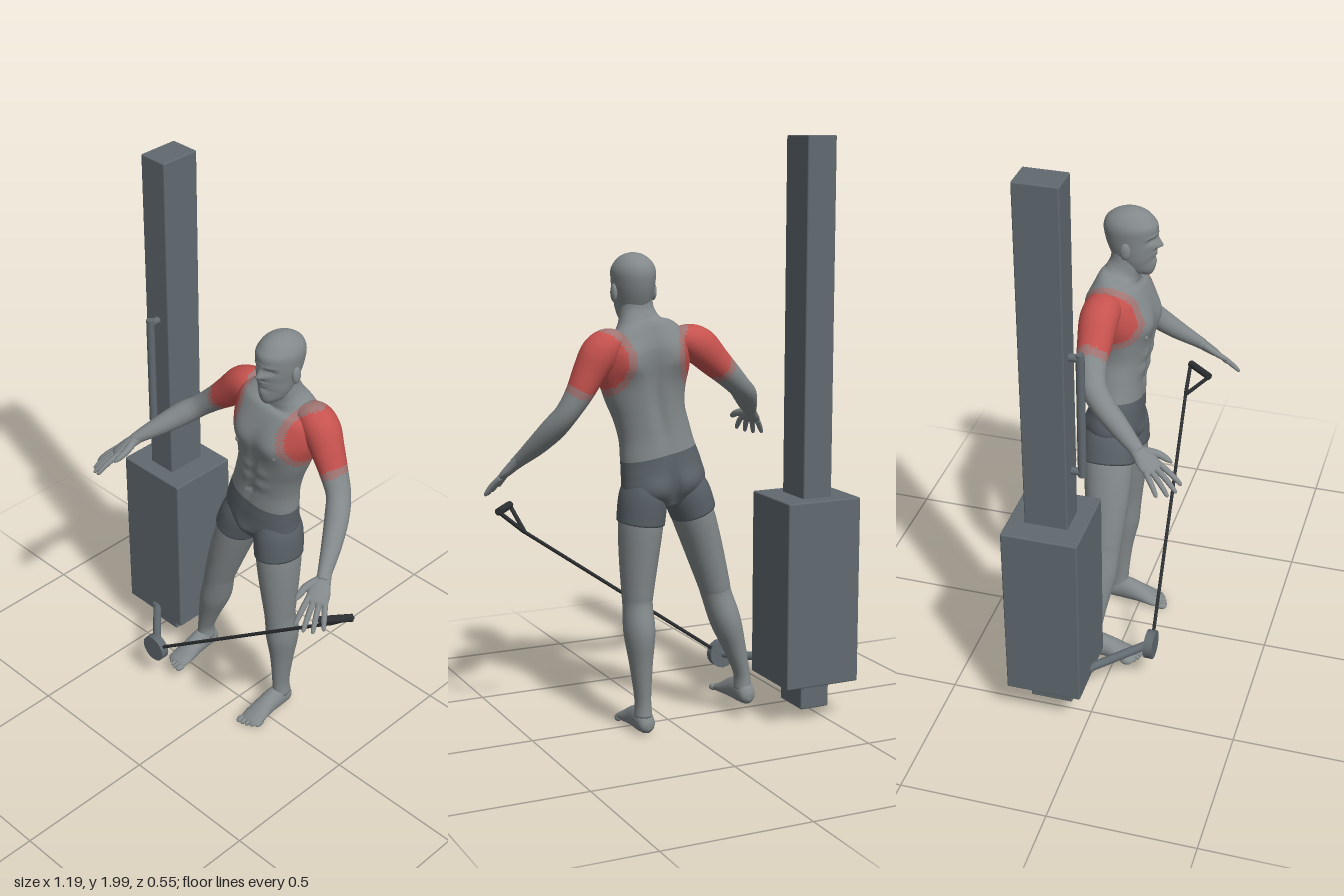
import * as THREE from 'three';
import { RoundedBoxGeometry } from 'three/addons/geometries/RoundedBoxGeometry.js';

const colour = (name, color) => Object.assign(new THREE.MeshStandardMaterial({ color }), { name });
const V3 = (x, y, z) => new THREE.Vector3(x, y, z);
const UP = V3(0, 1, 0), FRONT = V3(0, 0, 1);

// Smooth blend through four section values
function blend(a, b, c, d, t) {
  return 0.5 * (2 * b + (c - a) * t + (2 * a - 5 * b + 4 * c - d) * t * t + (3 * b - a - 3 * c + d) * t * t * t);
}

// Loft of elliptical sections [x, y, z, halfWidth, halfDepth].
// bumps: [x, y, side (1 front, -1 back), width, height, amount]
// paint(centre, t): index of the material, t counted in sections
function loft(sections, { ref = FRONT, n = 28, steps = 6, bumps = [], paint = () => 0, square = 1 } = {}) {
  const last = sections.length - 1, rings = last * steps + 1, rows = [];
  for (let i = 0; i < rings; i++) {
    const k = Math.min(Math.floor(i / steps), last - 1), t = i / steps - k;
    const s = (q) => sections[Math.min(last, Math.max(0, q))];
    rows.push([0, 1, 2, 3, 4].map((c) => {
      const v = blend(s(k - 1)[c], s(k)[c], s(k + 1)[c], s(k + 2)[c], t);
      return c > 2 ? Math.max(0.001, v) : v;
    }));
  }
  const centre = rows.map((r) => V3(r[0], r[1], r[2])), pts = [];
  const soft = (v) => Math.sign(v) * Math.abs(v) ** square;
  rows.forEach((r, i) => {
    const T = centre[Math.min(i + 1, rings - 1)].clone().sub(centre[Math.max(i - 1, 0)]).normalize();
    const U = T.clone().cross(ref).normalize(), W = U.clone().cross(T);
    for (let j = 0; j < n; j++) {
      const a = (j / n) * Math.PI * 2, c = soft(Math.cos(a)), s = soft(Math.sin(a));
      const p = centre[i].clone().addScaledVector(U, r[3] * c).addScaledVector(W, r[4] * s);
      for (const [bx, by, side, w, h, amount] of bumps) {
        const weight = Math.min(1, 3 * Math.max(0, side * s));
        p.z += side * amount * weight * Math.exp(-(((r[3] * c - bx) / w) ** 2) - ((r[1] - by) / h) ** 2);
      }
      pts.push(p);
    }
  });
  pts.push(centre[0], centre[rings - 1]);
  const buckets = [];
  const tri = (a, b, c, t) => {
    const mid = pts[a].clone().add(pts[b]).add(pts[c]).divideScalar(3);
    (buckets[paint(mid, t)] ??= []).push(a, b, c);
  };
  for (let j = 0; j < n; j++) {
    const j2 = (j + 1) % n, end = (rings - 1) * n;
    for (let i = 0; i < rings - 1; i++) {
      const a = i * n + j, b = i * n + j2, t = (i + 0.5) / steps;
      tri(a, a + n, b, t);
      tri(b, a + n, b + n, t);
    }
    tri(rings * n, j, j2, 0);
    tri(rings * n + 1, end + j2, end + j, last);
  }
  const g = new THREE.BufferGeometry().setFromPoints(pts), index = [];
  buckets.forEach((b, m) => {
    g.addGroup(index.length, b.length, m);
    for (const v of b) index.push(v);
  });
  g.setIndex(index);
  g.computeVertexNormals();
  return g;
}

export function createModel() {
  const model = new THREE.Group();
  const skin = colour('skin', 0x83898b), shorts = colour('shorts', 0x596167);
  const red = colour('highlighted muscle', 0xc6524e), pale = colour('muscle edge', 0xa07573);
  const steel = colour('machine steel', 0x616a70), dark = colour('cable', 0x2c2f31);
  const bodyColours = [skin, shorts, red, pale];
  const add = (name, geometry, material = bodyColours) => {
    const mesh = new THREE.Mesh(geometry, material);
    mesh.name = name;
    model.add(mesh);
    return mesh;
  };
  const rod = (name, a, b, r, material) => {
    const A = V3(...a), B = V3(...b);
    const mesh = add(name, new THREE.CylinderGeometry(r, r, A.distanceTo(B), 16), material);
    mesh.position.copy(A).add(B).multiplyScalar(0.5);
    mesh.quaternion.setFromUnitVectors(UP, B.sub(A).normalize());
  };
  const ball = (name, p, s, material = skin) => {
    const mesh = add(name, new THREE.SphereGeometry(1, 20, 14), material);
    mesh.position.set(...p);
    mesh.scale.set(...s);
  };
  const both = (x, ...rest) => [[-x, ...rest], [x, ...rest]];

  // Shoulder muscles are coloured by distance from their centres
  const shoulders = [[0.305, 1.28], [-0.08, 1.3]];
  const muscle = (p) => {
    const d = Math.min(...shoulders.map(([x, y]) => Math.hypot(p.x - x, p.y - y, (p.z + 0.08) * 0.6)));
    return d < 0.103 ? 2 : d < 0.128 ? 3 : 0;
  };

  // Weight machine
  const box = (name, size, pos) => add(name, new RoundedBoxGeometry(...size, 2, 0.005), steel).position.set(...pos);
  box('post', [0.108, 1.95, 0.146], [-0.46, 1.025, -0.138]);
  box('weightHousing', [0.276, 0.645, 0.257], [-0.458, 0.468, -0.138]);
  rod('gripBar', [-0.456, 0.97, -0.03], [-0.456, 1.42, -0.03], 0.014, steel);
  for (const y of [0.985, 1.405]) rod('gripBarMount', [-0.456, y, -0.08], [-0.456, y, -0.03], 0.013, steel);
  rod('pulleyArm', [-0.46, 0.17, -0.02], [-0.285, 0.17, 0.145], 0.015, steel);
  ball('pulleyArmJoint', [-0.46, 0.17, -0.015], [0.016, 0.016, 0.016], steel);
  rod('pulley', [-0.283, 0.17, 0.136], [-0.283, 0.17, 0.167], 0.05, steel);

  // Cable and stirrup handle
  const apex = [0.49, 0.707, 0.07], gripA = [0.582, 0.785, 0.065], gripB = [0.512, 0.785, 0.152];
  rod('cable', [-0.255, 0.185, 0.152], apex, 0.006, dark);
  rod('handleStrap', apex, gripA, 0.007, dark);
  rod('handleStrap', apex, gripB, 0.007, dark);
  rod('handleGrip', gripA, gripB, 0.013, dark);

  // Torso, neck and upper half of the shorts
  add('torso', loft([
    [0.037, 0.795, -0.065, 0.09, 0.065], [0.045, 0.85, -0.065, 0.143, 0.09], [0.055, 0.91, -0.062, 0.141, 0.09],
    [0.066, 0.965, -0.06, 0.132, 0.087], [0.078, 1.03, -0.058, 0.124, 0.085], [0.095, 1.1, -0.055, 0.124, 0.09],
    [0.11, 1.18, -0.052, 0.143, 0.098], [0.118, 1.26, -0.055, 0.163, 0.1], [0.125, 1.33, -0.067, 0.16, 0.09],
    [0.13, 1.37, -0.07, 0.125, 0.072], [0.135, 1.4, -0.062, 0.075, 0.06], [0.138, 1.44, -0.05, 0.057, 0.056],
    [0.14, 1.5, -0.045, 0.052, 0.055],
  ], {
    n: 64, steps: 8, square: 0.92,
    paint: (p, t) => (t < 3 ? 1 : muscle(p)),
    bumps: [
      ...both(0.068, 1.235, 1, 0.055, 0.045, 0.018), ...both(0.035, 1.07, 1, 0.025, 0.02, 0.006),
      ...both(0.035, 1.125, 1, 0.025, 0.02, 0.006), [0, 1.1, 1, 0.01, 0.13, -0.008], [0, 1.02, 1, 0.01, 0.008, -0.01],
      ...both(0.085, 1.3, -1, 0.05, 0.07, 0.025), [0, 1.17, -1, 0.022, 0.17, -0.018],
      ...both(0.065, 0.855, -1, 0.05, 0.045, 0.016), [0, 0.85, -1, 0.013, 0.05, -0.02], [0.0, 0.83, 1, 0.04, 0.03, 0.015],
    ],
  }));

  // Head, ears and eyes
  add('head', loft([
    [0.142, 1.398, 0.0, 0.014, 0.02], [0.142, 1.408, 0, 0.036, 0.044], [0.142, 1.44, -0.015, 0.053, 0.063],
    [0.142, 1.48, -0.028, 0.062, 0.078], [0.144, 1.53, -0.037, 0.069, 0.089], [0.144, 1.57, -0.04, 0.07, 0.09],
    [0.144, 1.6, -0.04, 0.055, 0.07], [0.144, 1.619, -0.04, 0.03, 0.038], [0.144, 1.626, -0.04, 0.003, 0.004],
  ], {
    n: 56, steps: 8,
    bumps: [
      [0, 1.484, 1, 0.014, 0.012, 0.02], [0, 1.503, 1, 0.009, 0.016, 0.013], ...both(0.028, 1.512, 1, 0.016, 0.01, -0.011),
      ...both(0.026, 1.53, 1, 0.02, 0.007, 0.004), [0, 1.456, 1, 0.02, 0.005, 0.007], [0, 1.444, 1, 0.017, 0.005, 0.006],
      [0, 1.418, 1, 0.018, 0.012, 0.007],
    ],
  }));
  for (const s of [-1, 1]) {
    ball('ear', [0.143 + s * 0.07, 1.497, -0.04], [0.01, 0.03, 0.018]);
    ball('eye', [0.143 + s * 0.028, 1.512, 0.026], [0.013, 0.008, 0.01]);
    ball('nipple', [0.115 + s * 0.08, 1.208, 0.043], [0.01, 0.01, 0.006]);
  }

  // Arms
  const arms = {
    left: [[0.2, 1.35, -0.08, 0.025, 0.04], [0.25, 1.338, -0.085, 0.052, 0.06], [0.285, 1.305, -0.085, 0.062, 0.064],
      [0.317, 1.25, -0.08, 0.054, 0.058], [0.352, 1.18, -0.075, 0.044, 0.05], [0.39, 1.115, -0.06, 0.038, 0.043],
      [0.422, 1.06, -0.02, 0.04, 0.04], [0.457, 1, 0.04, 0.033, 0.034], [0.49, 0.945, 0.105, 0.022, 0.025],
      [0.5, 0.928, 0.125, 0.02, 0.022]],
    right: [[0.03, 1.345, -0.08, 0.025, 0.04], [-0.02, 1.338, -0.085, 0.052, 0.06], [-0.07, 1.315, -0.088, 0.062, 0.064],
      [-0.125, 1.265, -0.085, 0.054, 0.058], [-0.185, 1.212, -0.078, 0.044, 0.05], [-0.24, 1.165, -0.055, 0.038, 0.043],
      [-0.285, 1.13, -0.01, 0.04, 0.04], [-0.33, 1.09, 0.055, 0.033, 0.034], [-0.37, 1.055, 0.115, 0.022, 0.025],
      [-0.38, 1.043, 0.132, 0.02, 0.022]],
  };
  for (const side in arms) add(side + 'Arm', loft(arms[side], { paint: muscle }));

  // Hands: wrist, pointing direction, and direction towards the thumb
  const hand = (side, wrist, dir, across) => {
    const W = V3(...wrist), D = V3(...dir).normalize(), L = V3(...across).normalize();
    const N = D.clone().cross(L).normalize();
    const at = (d, l, y, ra, rb) => {
      const p = W.clone().addScaledVector(D, d).addScaledVector(L, l);
      return [p.x, p.y + y, p.z, ra, rb];
    };
    add(side + 'Palm', loft([at(-0.015, 0, 0, 0.021, 0.02), at(0.02, 0, 0, 0.027, 0.019), at(0.06, 0, 0, 0.037, 0.016),
      at(0.09, 0, 0, 0.034, 0.012), at(0.1, 0, 0, 0.02, 0.005)], { ref: N, n: 20 }));
    for (let i = 0; i < 4; i++) {
      const k = i - 1.5, len = [0.07, 0.09, 0.095, 0.085][i];
      add(side + 'Finger', loft([at(0.08, k * 0.018, 0, 0.01, 0.01), at(0.09 + len * 0.5, k * 0.025, -0.003, 0.0095, 0.0095),
        at(0.09 + len * 0.92, k * 0.03, -0.012, 0.007, 0.007), at(0.09 + len, k * 0.031, -0.015, 0.002, 0.002)],
      { ref: N, n: 10, steps: 3 }));
    }
    add(side + 'Thumb', loft([at(0.02, 0.012, 0, 0.015, 0.014), at(0.055, 0.045, 0, 0.013, 0.012),
      at(0.09, 0.06, 0, 0.01, 0.009), at(0.108, 0.064, 0, 0.003, 0.003)], { ref: N, n: 12, steps: 4 }));
  };
  hand('left', [0.495, 0.938, 0.112], [0.3, -0.62, 0.73], [-0.75, 0.25, 0.5]);
  hand('right', [-0.373, 1.05, 0.12], [-0.4, -0.49, 0.77], [0.8, 0.2, 0.55]);

  // Legs
  const legs = {
    left: [[0.125, 0.82, -0.065, 0.068, 0.08], [0.13, 0.73, -0.062, 0.073, 0.086], [0.136, 0.62, -0.06, 0.065, 0.078],
      [0.141, 0.5, -0.06, 0.053, 0.064], [0.142, 0.45, -0.062, 0.049, 0.06], [0.142, 0.36, -0.076, 0.051, 0.066],
      [0.138, 0.25, -0.08, 0.038, 0.048], [0.133, 0.13, -0.082, 0.027, 0.036], [0.133, 0.07, -0.085, 0.03, 0.038]],
    right: [[-0.03, 0.82, -0.065, 0.068, 0.08], [-0.06, 0.75, -0.062, 0.071, 0.085], [-0.1, 0.64, -0.056, 0.065, 0.078],
      [-0.145, 0.5, -0.053, 0.054, 0.064], [-0.157, 0.455, -0.054, 0.051, 0.06], [-0.186, 0.36, -0.066, 0.051, 0.065],
      [-0.22, 0.26, -0.07, 0.038, 0.048], [-0.246, 0.17, -0.073, 0.027, 0.036], [-0.25, 0.115, -0.075, 0.03, 0.038]],
  };
  for (const side in legs) add(side + 'Leg', loft(legs[side]));
  add('leftShortsLeg', loft([[0.11, 0.88, -0.065, 0.065, 0.08], [0.122, 0.82, -0.065, 0.079, 0.092],
    [0.13, 0.735, -0.062, 0.079, 0.092]], { steps: 8 }), shorts);
  add('rightShortsLeg', loft([[0.002, 0.885, -0.065, 0.065, 0.08], [-0.032, 0.83, -0.065, 0.079, 0.092],
    [-0.062, 0.758, -0.062, 0.077, 0.091]], { steps: 8 }), shorts);

  // Feet with toes; out is the direction of the little toe
  const foot = (side, x, y, z, out) => {
    const at = (dx, h, dz, ra, rb) => [x + out * dx, y + h, z + dz, ra, rb];
    add(side + 'Foot', loft([at(0.002, 0.035, -0.128, 0.01, 0.012), at(0.002, 0.036, -0.112, 0.028, 0.032),
      at(0.002, 0.045, -0.065, 0.033, 0.045), at(0, 0.037, -0.01, 0.036, 0.036), at(0, 0.022, 0.045, 0.042, 0.021),
      at(0, 0.015, 0.075, 0.038, 0.013), at(0, 0.012, 0.085, 0.03, 0.006)], { ref: UP }));
    for (let i = 0; i < 5; i++) {
      const r = i ? 0.0085 : 0.013;
      ball(side + 'Toe', [x + out * (-0.03 + i * 0.0165), y + 0.012, z + 0.088 - i * i * 0.0018], [r, 0.011, 0.02]);
    }
  };
  foot('left', 0.128, 0.01, 0, 1);
  foot('right', -0.25, 0.058, 0.003, -1);
  return model;
}
